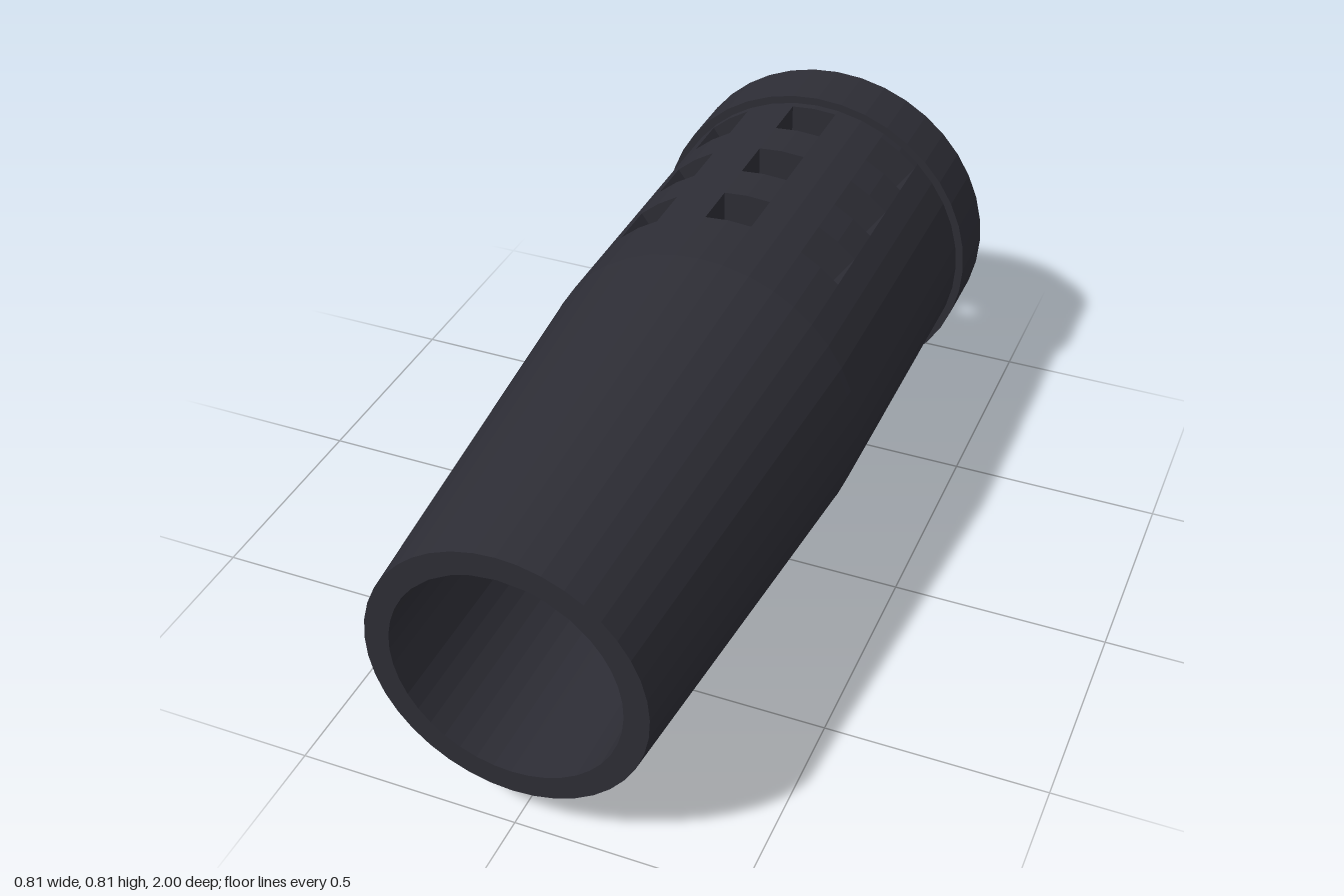
import * as THREE from 'three';

const BORE = 0.255, BODY = 0.386, CENTER_Y = 0.405, HALF_HOLE = 0.056;
const HOLE_ANGLES = [-0.62, 0, 0.62]; // measured from the top of the tube

// Angular stations: each has an outer and an inner angle, so that the
// sides of the vent holes are parallel walls rather than radial ones.
function makeStations() {
  const ho = Math.asin(HALF_HOLE / BODY), hi = Math.asin(HALF_HOLE / BORE);
  const edges = [];
  HOLE_ANGLES.forEach((a) => edges.push([a - ho, a - hi], [a + ho, a + hi]));
  edges.push([edges[0][0] + Math.PI * 2, edges[0][1] + Math.PI * 2]);
  const stations = [];
  for (let e = 0; e < edges.length - 1; e++) {
    const n = e === 5 ? 30 : 2, hole = e % 2 === 0;
    for (let k = 0; k < n; k++) {
      const mix = (j) => THREE.MathUtils.lerp(edges[e][j], edges[e + 1][j], k / n);
      stations.push({ o: mix(0), i: mix(1), hole, first: k === 0, last: k === n - 1 });
    }
  }
  stations.push({ o: edges[6][0], i: edges[6][1] });
  return stations;
}

// Hollow barrel with a tapered nose and three rows of vents cut through it
function barrelGeometry() {
  const rows = [
    { z: 1, r: 0.31 }, { z: 0.02, r: 0.384 }, { z: 0, r: BODY },
    { z: -0.175, r: BODY, hole: true }, { z: -0.293, r: BODY },
    { z: -0.402, r: BODY, hole: true }, { z: -0.52, r: BODY },
    { z: -0.63, r: BODY, hole: true }, { z: -0.75, r: BODY },
    { z: -0.78, r: BODY },
  ];
  const stations = makeStations(), pos = [];
  const at = (a, r, z) => [Math.sin(a) * r, Math.cos(a) * r, z];
  const quad = (a, b, c, d) => pos.push(...a, ...b, ...c, ...a, ...c, ...d);

  for (let j = 0; j < rows.length - 1; j++) {
    const p = rows[j], q = rows[j + 1];
    for (let k = 0; k < stations.length - 1; k++) {
      const s = stations[k], t = stations[k + 1];
      const o00 = at(s.o, p.r, p.z), o10 = at(t.o, p.r, p.z);
      const o01 = at(s.o, q.r, q.z), o11 = at(t.o, q.r, q.z);
      const i00 = at(s.i, BORE, p.z), i10 = at(t.i, BORE, p.z);
      const i01 = at(s.i, BORE, q.z), i11 = at(t.i, BORE, q.z);
      if (p.hole && s.hole) {
        // the four walls of a vent
        quad(o00, o10, i10, i00);
        quad(i01, i11, o11, o01);
        if (s.first) quad(i00, i01, o01, o00);
        if (s.last) quad(o10, o11, i11, i10);
      } else {
        quad(o00, o10, o11, o01);
        quad(i01, i11, i10, i00);
      }
      if (j === 0) quad(i00, i10, o10, o00); // front rim
    }
  }
  const geometry = new THREE.BufferGeometry();
  geometry.setAttribute('position', new THREE.Float32BufferAttribute(pos, 3));
  geometry.computeVertexNormals();
  return geometry;
}

// Raised collar and chamfered end cap, with the bore running through
function collarGeometry() {
  const profile = [
    [0.38, 0.77], [0.405, 0.77], [0.405, 0.925], [0.38, 0.925],
    [0.352, 0.99], [0.28, 1], [BORE, 1], [BORE, 0.78],
  ].map(([r, y]) => new THREE.Vector2(r, y));
  return new THREE.LatheGeometry(profile, 40).rotateX(-Math.PI / 2);
}

export function createModel() {
  const darkGrey = new THREE.MeshStandardMaterial({ color: 0x2d2d35 });
  darkGrey.name = 'dark grey';
  darkGrey.flatShading = true;

  const group = new THREE.Group();
  group.name = 'ventedSleeve';
  const add = (name, geometry) => {
    const mesh = new THREE.Mesh(geometry, darkGrey);
    mesh.name = name;
    mesh.position.y = CENTER_Y;
    group.add(mesh);
  };
  add('ventedBarrel', barrelGeometry());
  add('rearCollar', collarGeometry());
  return group;
}
